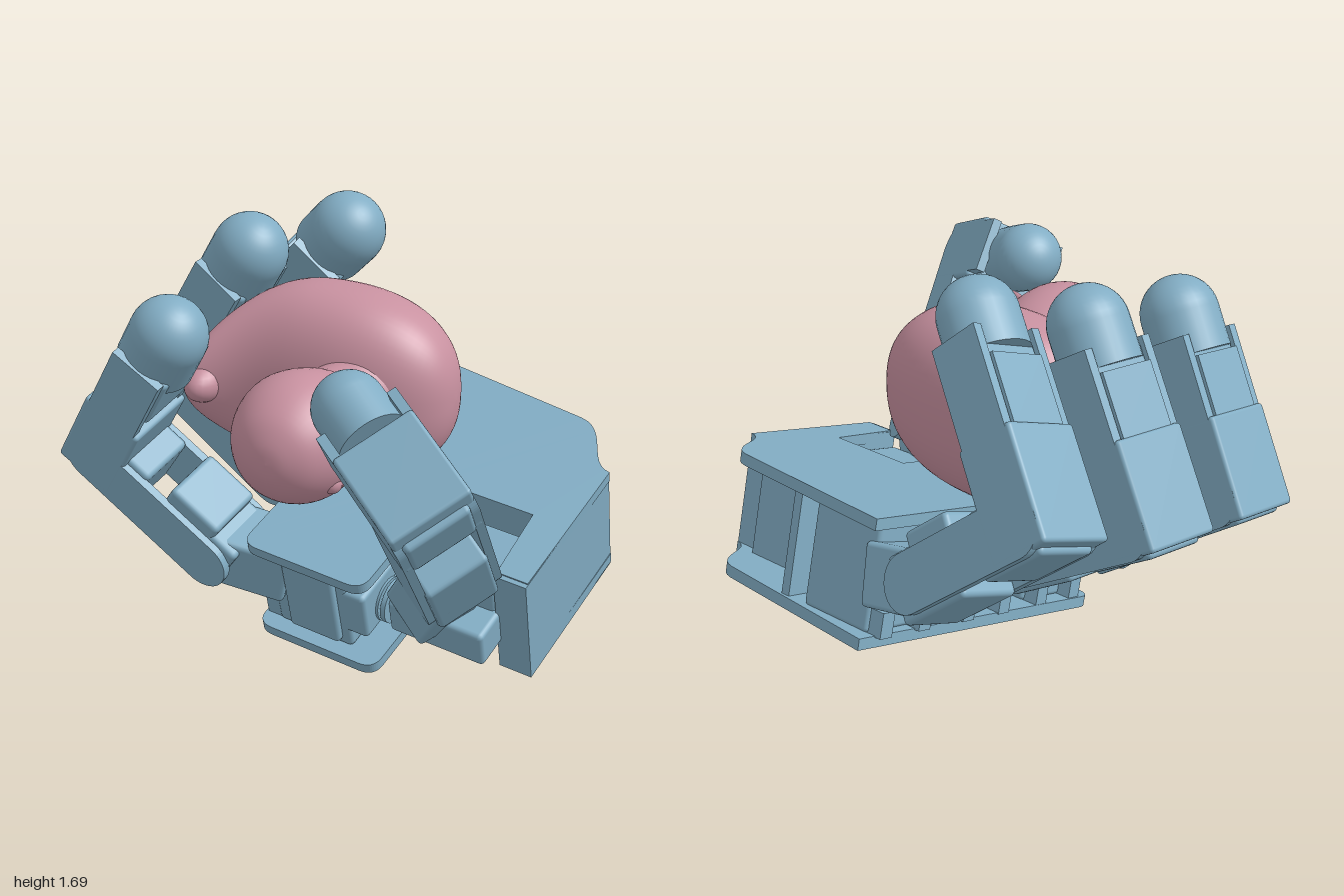
import * as THREE from 'three';
import { RoundedBoxGeometry } from 'three/addons/geometries/RoundedBoxGeometry.js';

const V = (x, y, z) => new THREE.Vector3(x, y, z);
const steel = new THREE.MeshStandardMaterial({ color: 0x82adc4 });
const pink = new THREE.MeshStandardMaterial({ color: 0xc891a0 });

function add(parent, name, geometry, material, x = 0, y = 0, z = 0) {
  const mesh = new THREE.Mesh(geometry, material);
  mesh.name = name;
  mesh.position.set(x, y, z);
  parent.add(mesh);
  return mesh;
}

// Box given by its low and high corners
function block(parent, name, lo, hi, radius = 0) {
  const s = hi.map((h, i) => h - lo[i]);
  const g = radius ? new RoundedBoxGeometry(...s, 2, radius) : new THREE.BoxGeometry(...s);
  return add(parent, name, g, steel, ...hi.map((h, i) => (h + lo[i]) / 2));
}

// Group at a, local y towards b, local x along the hinge axis, local z to the grip side
function limb(parent, name, a, b, hinge) {
  const g = new THREE.Group();
  g.name = name;
  const y = b.clone().sub(a).normalize();
  const z = hinge.clone().cross(y).normalize();
  const x = y.clone().cross(z);
  g.quaternion.setFromRotationMatrix(new THREE.Matrix4().makeBasis(x, y, z));
  g.position.copy(a);
  parent.add(g);
  return g;
}

// Flat side plate with rounded ends, lying in local yz
function cheek(parent, x, y0, y1, r) {
  const s = new THREE.Shape();
  s.absarc(0, y1 - r, r, 0, Math.PI);
  s.absarc(0, y0 + r, r, Math.PI, Math.PI * 2);
  const g = new THREE.ExtrudeGeometry(s, { depth: 0.035, bevelEnabled: false, curveSegments: 12 });
  g.translate(0, 0, -0.0175).rotateY(Math.PI / 2);
  add(parent, 'sidePlate', g, steel, x);
}

// Finger: knuckle, hollow lower link, upper link and round tip
function finger(parent, name, root, knuckle, elbow, tip, r = 0.15, elbowStart = 0.62) {
  const f = new THREE.Group();
  f.name = name;
  parent.add(f);
  const hinge = elbow.clone().sub(knuckle).cross(tip.clone().sub(elbow)).normalize();
  const w = 0.16, t = 0.13;

  const base = limb(f, 'knuckle', root, knuckle, hinge);
  const lb = root.distanceTo(knuckle);
  block(base, 'knuckleServo', [-0.12, -0.05, -0.12], [0.12, lb + 0.06, 0.12], 0.02);

  const low = limb(f, 'lowerLink', knuckle, elbow, hinge);
  const L = knuckle.distanceTo(elbow);
  block(low, 'lowerServo', [-0.13, -0.08, -t], [0.13, L * 0.44, t], 0.02);
  block(low, 'servoCover', [-0.13, L * 0.06, 0], [0.13, L * 0.46, t + 0.05], 0.02);
  block(low, 'elbowServo', [-0.13, L * elbowStart, -t + 0.01], [0.13, L + 0.08, t], 0.02);
  for (const s of [-1, 1]) cheek(low, s * (w - 0.018), -0.1, L + 0.12, 0.11);

  const up = limb(f, 'upperLink', elbow, tip, hinge);
  const M = elbow.distanceTo(tip);
  block(up, 'upperServo', [-w, -0.1, -t], [w, Math.max(M * 0.42, 0.28), t], 0.015);
  if (M > 0.6) {
    block(up, 'tipServo', [-0.125, M * 0.5, -0.1], [0.125, M - 0.1, 0.12], 0.02);
    block(up, 'backPlate', [-0.12, M * 0.4, -0.12], [0.12, M * 0.75, -0.07]);
  }
  for (const s of [-1, 1]) block(up, 'tipBracket', [s * 0.142 - 0.018, M * 0.4, -0.11], [s * 0.142 + 0.018, M - 0.09, 0.11]);
  add(up, 'tipSleeve', new THREE.CylinderGeometry(r, r, 0.16, 32), steel, 0, M - 0.08, 0);
  add(up, 'fingerTip', new THREE.SphereGeometry(r, 32, 20), steel, 0, M, 0);
}

// Palm outline: broad rear, tongue on one side, arm on the other
function palmPlate(parent, name, y, depth) {
  const s = new THREE.Shape();
  s.moveTo(-0.27, 0.06);
  s.quadraticCurveTo(-0.27, 0, -0.2, 0);
  s.lineTo(0.2, 0);
  s.quadraticCurveTo(0.27, 0, 0.27, 0.07);
  s.lineTo(0.28, 0.62);
  s.lineTo(0.65, 0.62);
  s.lineTo(0.67, 0.3);
  s.lineTo(0.8, 0.3);
  s.lineTo(0.805, 0.95);
  s.bezierCurveTo(0.7, 0.96, 0.7, 1.16, 0.57, 1.18);
  s.lineTo(-0.23, 1.265);
  s.closePath();
  const g = new THREE.ExtrudeGeometry(s, { depth, bevelEnabled: false }).rotateX(-Math.PI / 2);
  add(parent, name, g, steel, 0, y, 0);
}

function buildPalm(root) {
  const palm = new THREE.Group();
  palm.name = 'palm';
  root.add(palm);
  const z = V(-0.14, -0.31, 0.94).normalize();
  const x = V(0.03, 0.945, 0.32).cross(z).normalize();
  const y = z.clone().cross(x);
  palm.quaternion.setFromRotationMatrix(new THREE.Matrix4().makeBasis(x, y, z));
  palm.position.set(0.05, 0.02, 0.21);

  palmPlate(palm, 'bottomPlate', -0.01, 0.045);
  palmPlate(palm, 'topPlate', 0.44, 0.045);
  block(palm, 'sideArm', [0.665, -0.02, -0.95], [0.802, 0.48, -0.28]);
  block(palm, 'rearWall', [-0.1, 0.03, -0.99], [0.67, 0.45, -0.94]);
  block(palm, 'innerWall', [0.27, 0.03, -0.68], [0.68, 0.45, -0.62]);
  block(palm, 'rearRib', [0.22, 0.03, -1.2], [0.26, 0.45, -0.95]);

  // Servos that drive the fingers
  for (const c of [-0.2, -0.62, -1.06]) {
    block(palm, 'palmServo', [-0.2, 0.03, c - 0.14], [0.14, 0.45, c + 0.14], 0.02);
    for (const d of [-0.1, 0.1]) block(palm, 'servoFoot', [-0.26, 0.03, c + d - 0.03], [-0.18, 0.13, c + d + 0.03]);
  }
  block(palm, 'frontServo', [-0.13, 0.06, -0.3], [0.1, 0.42, -0.03], 0.02);
  block(palm, 'frontServoCover', [0.1, 0.12, -0.3], [0.22, 0.34, -0.06], 0.02);

  // Drive for the thumb, across the gap
  block(palm, 'thumbDrive', [0.27, 0.12, -0.35], [0.68, 0.28, -0.14], 0.02);
  block(palm, 'thumbServo', [0.28, 0.24, -0.56], [0.66, 0.42, -0.28], 0.02);
  for (const a of [0.22, 0.25]) {
    add(palm, 'driveDisc', new THREE.CylinderGeometry(0.09, 0.09, 0.02, 24).rotateZ(Math.PI / 2), steel, a, 0.2, -0.22);
  }
}

// Toy bird lying on its side: up is +z, bill towards +x
function buildDuck(root) {
  const duck = new THREE.Group();
  duck.name = 'toyDuck';
  duck.position.y = 1.035;
  root.add(duck);

  // Body: swollen ellipsoid with a full chest, whose tail end narrows and lifts
  const body = new THREE.SphereGeometry(1, 56, 40).rotateZ(Math.PI / 2);
  const p = body.attributes.position;
  const swell = (v, k) => Math.sign(v) * Math.abs(v) ** k;
  for (let i = 0; i < p.count; i++) {
    const x = p.getX(i), t = Math.max(0, -x);
    const k = x > 0 ? 0.85 : 0.85 + 0.15 * t;
    p.setXYZ(i, swell(x, k) * 0.505 - 0.035, swell(p.getY(i), k) * 0.38 * (1 - 0.1 * t * t),
      swell(p.getZ(i), k) * 0.27 - 0.14 + 0.27 * t * t * t);
  }
  body.computeVertexNormals();
  add(duck, 'body', body, pink);
  add(duck, 'tail', new THREE.SphereGeometry(1, 24, 16).scale(0.08, 0.08, 0.14), pink, -0.46, 0, 0.09);

  // Neck and head in one turned shape
  const pts = [[0.36, -0.14], [0.32, -0.05], [0.25, 0.02], [0.18, 0.1], [0.18, 0.18], [0.215, 0.26],
    [0.24, 0.35], [0.24, 0.44], [0.21, 0.53], [0.15, 0.61], [0.07, 0.655], [0, 0.665]];
  const curve = new THREE.SplineCurve(pts.map(([r, h]) => new THREE.Vector2(r, h)));
  const profile = curve.getPoints(44).map(q => new THREE.Vector2(Math.max(0, q.x), q.y));
  const neck = new THREE.LatheGeometry(profile, 48).rotateX(Math.PI / 2);
  // Shift the neck towards the chest
  const n = neck.attributes.position;
  for (let i = 0; i < n.count; i++) n.setX(i, n.getX(i) + 0.04 * Math.max(0, 1 - Math.abs(n.getZ(i) - 0.08) / 0.3));
  neck.computeVertexNormals();
  add(duck, 'neckAndHead', neck, pink, 0.08);

  // Bill halves, spread slightly
  for (const [name, z, tilt] of [['lowerBill', 0.37, 0.02], ['upperBill', 0.44, -0.3]]) {
    const bill = add(duck, name, new THREE.SphereGeometry(1, 28, 16).scale(0.16, 0.14, 0.035), pink, 0.33, 0, z);
    bill.rotation.y = tilt;
  }
  for (const s of [-1, 1]) {
    add(duck, 'eye', new THREE.SphereGeometry(0.04, 16, 12), pink, 0.25, s * 0.115, 0.48);
  }
}

export function createModel() {
  const root = new THREE.Group();
  root.name = 'robotHandHoldingDuck';
  buildPalm(root);
  buildDuck(root);
  finger(root, 'frontFinger', V(-0.12, 0.36, 0.15), V(-0.34, 0.41, 0.2), V(-0.82, 0.76, 0.21), V(-0.46, 1.325, 0.38));
  finger(root, 'middleFinger', V(-0.06, 0.5, -0.27), V(-0.27, 0.55, -0.27), V(-0.79, 0.9, -0.33), V(-0.405, 1.485, -0.16));
  finger(root, 'rearFinger', V(0, 0.62, -0.78), V(-0.2, 0.67, -0.8), V(-0.62, 1.03, -0.75), V(-0.11, 1.535, -0.41));
  finger(root, 'thumb', V(0.5, 0.32, 0.14), V(0.63, 0.53, 0.28), V(0.73, 1.06, 0.79), V(0.36, 1.27, 0.57), 0.135, 0.82);
  return root;
}
